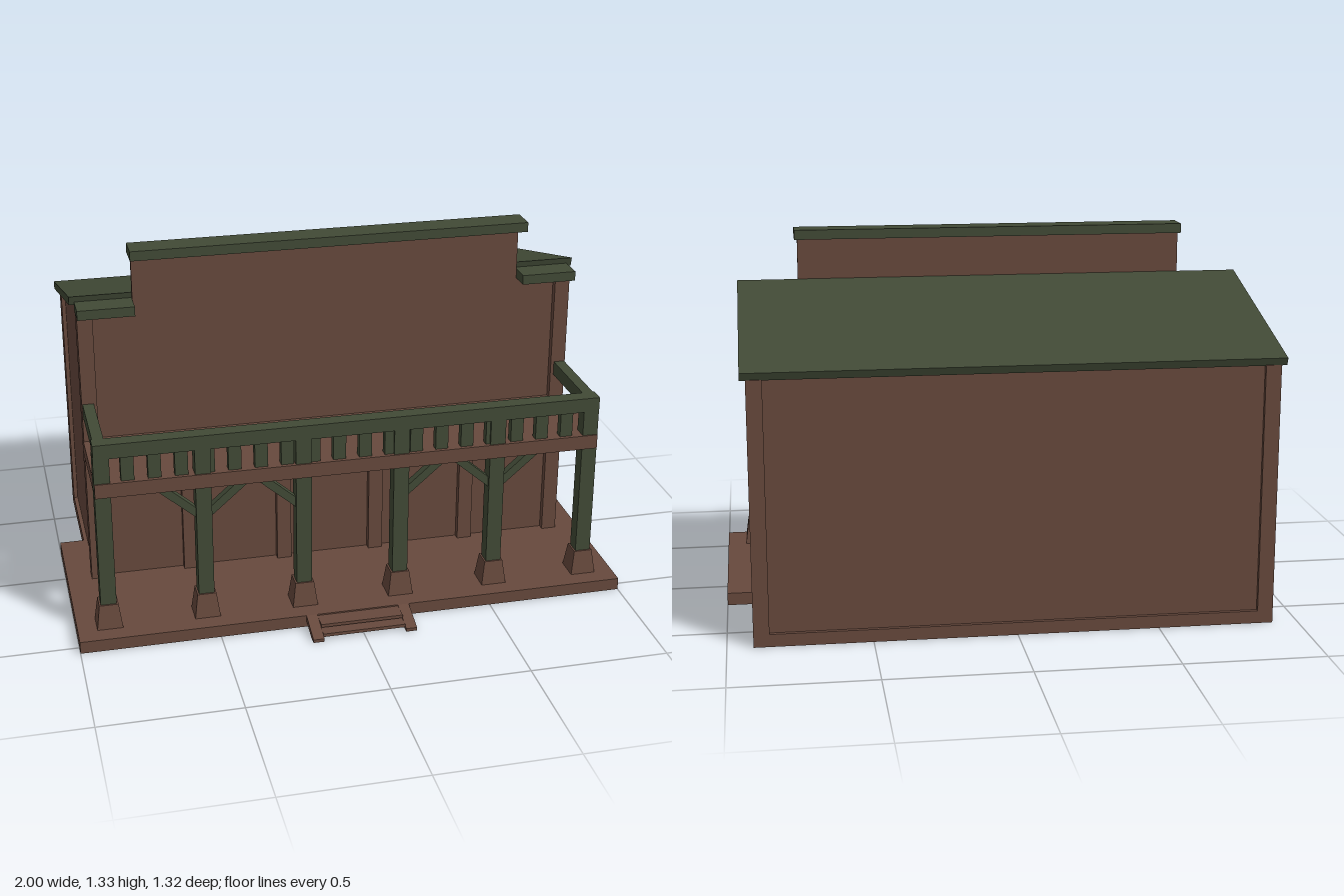
import * as THREE from 'three';

export function createModel() {
  const wood = new THREE.MeshStandardMaterial({ color: 0x67493d });
  wood.name = 'brown timber';
  const trim = new THREE.MeshStandardMaterial({ color: 0x414a36 });
  trim.name = 'green trim';
  const model = new THREE.Group();
  model.name = 'storefront';

  const add = (name, geo, mat) => {
    const mesh = new THREE.Mesh(geo, mat);
    mesh.name = name;
    model.add(mesh);
    return mesh;
  };
  // Box given by its limits on each axis
  const box = (name, mat, x0, x1, y0, y1, z0, z1) => add(name,
    new THREE.BoxGeometry(x1 - x0, y1 - y0, z1 - z0)
      .translate((x0 + x1) / 2, (y0 + y1) / 2, (z0 + z1) / 2), mat);
  const extrude = (pts, depth) => new THREE.ExtrudeGeometry(
    new THREE.Shape(pts.map(([a, b]) => new THREE.Vector2(a, b))), { depth, bevelEnabled: false });
  // Side profile of [z, y] points, drawn out from x0 to x1
  const prismX = (name, mat, pts, x0, x1) => add(name,
    extrude(pts, x1 - x0).rotateY(-Math.PI / 2).translate(x1, 0, 0), mat);

  // Porch deck, open under the building ([x, -z] plan)
  add('deck', extrude([[-1, -0.54], [1, -0.54], [1, 0.21], [0.88, 0.21], [0.62, 0.04],
    [-0.67, 0.04], [-0.88, 0.21], [-1, 0.21]], 0.045).rotateX(-Math.PI / 2), wood);

  // Steps
  for (const s of [-1, 1]) {
    prismX('stepStringer', wood, [[0.54, 0.022], [0.62, 0], [0.655, 0], [0.655, 0.012], [0.54, 0.045]],
      s * 0.17 - 0.02, s * 0.17 + 0.02);
  }
  box('upperStep', wood, -0.15, 0.15, 0.028, 0.04, 0.54, 0.605);
  box('lowerStep', wood, -0.15, 0.15, 0.01, 0.022, 0.57, 0.64);

  // Stepped front wall and back wall
  add('frontWall', extrude([[-0.88, 0.04], [0.88, 0.04], [0.88, 1.1], [0.71, 1.1],
    [0.71, 1.3], [-0.71, 1.3], [-0.71, 1.1], [-0.88, 1.1]], 0.015).translate(0, 0, 0.06), wood);
  box('backWall', wood, -0.88, 0.88, 0.02, 0.94, -0.64, -0.625);
  box('backSill', wood, -0.855, 0.855, 0, 0.045, -0.655, -0.615);

  // Side walls, sills, corner posts and low cornices
  for (const s of [-1, 1]) {
    const span = (a, b) => (s > 0 ? [a, b] : [-b, -a]);
    prismX('sideWall', wood, [[-0.63, 0.02], [0.065, 0.02], [0.065, 1.12], [-0.63, 0.942]], ...span(0.88, 0.895));
    box('sideSill', wood, ...span(0.87, 0.91), 0, 0.045, -0.6, -0.2);
    box('frontCornerPost', wood, ...span(0.855, 0.91), 0.04, 1.095, 0.04, 0.1);
    box('backCornerPost', wood, ...span(0.855, 0.91), 0, 0.93, -0.655, -0.585);
    box('lowCornice', trim, ...span(0.71, 0.912), 1.093, 1.128, 0.05, 0.15);
  }
  box('topCornice', trim, -0.72, 0.72, 1.295, 1.33, 0.05, 0.15);

  // Sloping roof
  prismX('roof', trim, [[0.052, 1.117], [-0.65, 0.928], [-0.66, 0.955], [0.06, 1.15]], -0.93, 0.93);

  // Porch posts with flared footings, and studs on the wall behind them
  const postX = [-0.885, -0.535, -0.178, 0.178, 0.535, 0.885];
  for (const x of postX) {
    box('porchPost', trim, x - 0.028, x + 0.028, 0.1, 0.71, 0.401, 0.455);
    const footing = new THREE.CylinderGeometry(0.034 * Math.SQRT2, 0.046 * Math.SQRT2, 0.09, 4, 1)
      .rotateY(Math.PI / 4).toNonIndexed();
    footing.computeVertexNormals();
    add('postFooting', footing.translate(x, 0.09, 0.427), wood);
    if (Math.abs(x) < 0.8) box('wallStud', wood, x - 0.027, x + 0.027, 0.045, 0.56, 0.035, 0.1);
  }

  // Diagonal braces: both sides of the middle posts, outward on the inner ones
  for (const [x, d] of [[-0.535, -1], [-0.535, 1], [-0.178, -1], [0.178, 1], [0.535, -1], [0.535, 1]]) {
    const pts = [[0.02, 0.43], [0.17, 0.56], [0.125, 0.56], [0.02, 0.468]].map(([a, b]) => [x + d * a, b]);
    add('brace', extrude(pts, 0.03).translate(0, 0, 0.413), trim);
  }

  // Balcony floor, rails and balusters
  box('balconyFloor', wood, -0.912, 0.912, 0.555, 0.608, 0.065, 0.46);
  box('frontRail', trim, -0.912, 0.912, 0.702, 0.755, 0.403, 0.459);
  for (const s of [-1, 1]) {
    box('sideRail', trim, s * 0.887 - 0.02, s * 0.887 + 0.02, 0.702, 0.754, 0.075, 0.41);
  }
  for (let i = 0; i < 20; i++) {
    const x = -0.889 + i * 0.0936;
    box('baluster', trim, x - 0.023, x + 0.023, 0.605, 0.705, 0.416, 0.446);
  }
  return model;
}
